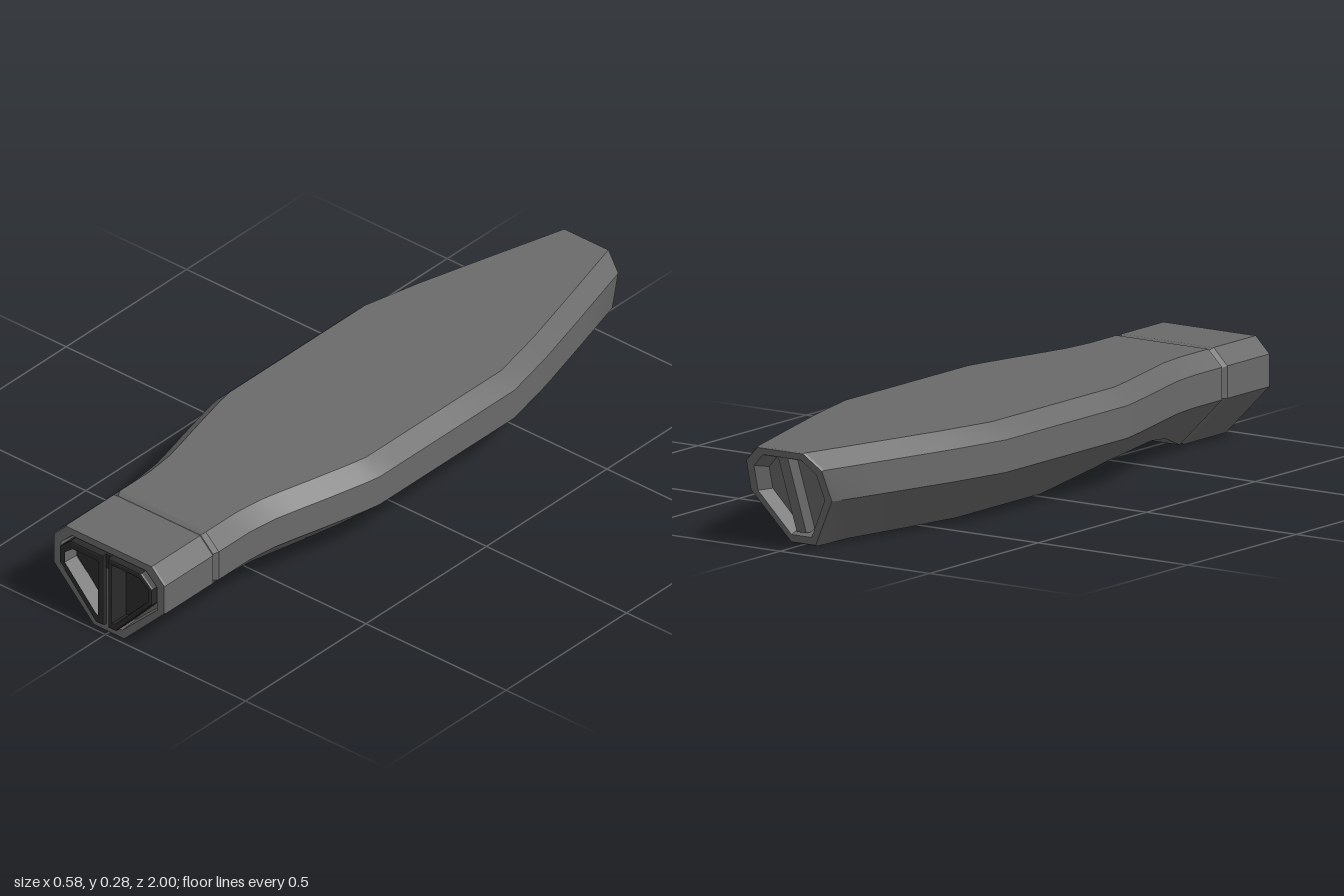
import * as THREE from 'three';
import { toCreasedNormals } from 'three/addons/utils/BufferGeometryUtils.js';

const shell = new THREE.MeshStandardMaterial({ color: 0x6a6a6a });
const dark = new THREE.MeshStandardMaterial({ color: 0x2a2a2a });
const TOP = 0.28, SLANT = 0.39;

// Piecewise linear lookup in [z, value] pairs sorted by z
function lookup(table, z) {
  if (z <= table[0][0]) return table[0][1];
  for (let i = 1; i < table.length; i++) {
    const [z0, a] = table[i - 1], [z1, b] = table[i];
    if (z <= z1) return a + (b - a) * (z - z0) / (z1 - z0);
  }
  return table[table.length - 1][1];
}

const WIDTH = [[-1, 0.125], [-0.54, 0.25], [-0.36, 0.29], [0.21, 0.29], [0.38, 0.25],
  [0.53, 0.212], [0.63, 0.2], [1, 0.2]];
const LIFT = [[0.03, 0], [0.2, 0.052], [0.25, 0.06], [0.54, 0.06], [0.64, 0.046], [0.77, 0]];

// Eight-sided section, counter-clockwise seen from the front; slanted = sheared tail cut
function section(z, slanted = 0) {
  const corner = (level) => {
    const y0 = [0, 0.145, 0.235, TOP][level];
    const zz = z + slanted * SLANT * (TOP - y0);
    const w = lookup(WIDTH, zz);
    if (level === 3) return [w - 0.046, TOP, zz];
    if (level > 0) return [w, y0, zz];
    const lift = lookup(LIFT, zz);
    const bottom = Math.max(0.042, 0.055 + (w - 0.2) * 0.78);
    return [bottom + (w - bottom) * lift / 0.145, lift, zz];
  };
  const half = [0, 1, 2, 3].map(corner);
  return [...half, ...half.slice().reverse().map(([x, y, zz]) => [-x, y, zz])];
}

// Shrinks a section towards its middle and shifts it along z
const inset = (ring, sx, sy, dz, slanted = 0) => ring.map(([x, y, z]) => {
  const ny = 0.15 + (y - 0.15) * sy;
  return [x * sx, ny, z + dz - slanted * SLANT * (ny - y)];
});

// Skin through sections, closed at both ends
function loft(rings) {
  const n = rings[0].length, index = [], last = (rings.length - 1) * n;
  for (let r = 0; r < rings.length - 1; r++) {
    for (let i = 0; i < n; i++) {
      const a = r * n + i, b = r * n + (i + 1) % n;
      index.push(a, b, b + n, a, b + n, a + n);
    }
  }
  for (let i = 1; i < n - 1; i++) {
    index.push(0, i + 1, i, last, last + i, last + i + 1);
  }
  const geo = new THREE.BufferGeometry();
  geo.setAttribute('position', new THREE.Float32BufferAttribute(rings.flat(2), 3));
  geo.setIndex(index);
  return toCreasedNormals(geo, 0.4);
}

function add(parent, name, geometry, material, x = 0, y = 0, z = 0) {
  const mesh = new THREE.Mesh(geometry, material);
  mesh.name = name;
  mesh.position.set(x, y, z);
  parent.add(mesh);
  return mesh;
}

const toPath = (pts, side, Kind) => new Kind(pts.map(([x, y]) => new THREE.Vector2(x * side, y)));

export function createModel() {
  const model = new THREE.Group();
  model.name = 'handle';

  // Main body with a recessed, slanted tail
  const tail = section(-1, 1);
  const stations = [-0.75, -0.54, -0.36, -0.1, 0.03, 0.12, 0.2, 0.25, 0.38, 0.47, 0.54, 0.59, 0.64, 0.7, 0.762];
  const neck = section(0.77);
  add(model, 'body', loft([
    inset(tail, 0.68, 0.72, 0.045, 1),
    inset(tail, 0.8, 0.83, 0, 1),
    inset(tail, 0.97, 0.98, 0, 1),
    inset(tail, 1, 1, 0.006),
    ...stations.map((z) => section(z)),
    inset(neck, 0.95, 0.94, 0.006),
  ]), shell);

  // Upright rib across the tail recess, sheared to the slanted cut
  const rib = new THREE.BoxGeometry(0.032, 0.23, 0.05);
  const p = rib.attributes.position;
  for (let i = 0; i < p.count; i++) p.setZ(i, p.getZ(i) - SLANT * p.getY(i));
  rib.computeVertexNormals();
  add(model, 'tailRib', rib, shell, 0, 0.15, -1 + SLANT * (TOP - 0.15) + 0.029);

  // Collar with bevelled ends and an open front
  const back = section(0.78), front = section(0.985);
  add(model, 'collar', loft([
    inset(back, 0.95, 0.94, -0.006),
    inset(back, 1, 1, 0.006),
    inset(front, 1, 1, -0.005),
    inset(front, 0.985, 0.985, 0),
    inset(front, 0.86, 0.82, 0),
    inset(front, 0.84, 0.79, -0.06),
  ]), shell);
  add(model, 'frontRib', new THREE.BoxGeometry(0.017, 0.19, 0.06), shell, 0, 0.115, 0.955);
  add(model, 'bridge', new THREE.BoxGeometry(0.018, 0.045, 0.06), dark, 0, 0.228, 0.956);

  // Two mirrored dark sockets: a bevelled frame around a deep pocket
  const rim = [[0.009, 0.025], [0.036, 0.025], [0.165, 0.165], [0.165, 0.215], [0.125, 0.25], [0.009, 0.25]];
  const hole = [[0.022, 0.045], [0.036, 0.05], [0.149, 0.17], [0.149, 0.208], [0.118, 0.232], [0.022, 0.232]];
  const floor = [[0.015, 0.035], [0.036, 0.035], [0.155, 0.165], [0.155, 0.21], [0.12, 0.24], [0.015, 0.24]];
  for (const side of [1, -1]) {
    const socket = new THREE.Group();
    socket.name = side > 0 ? 'leftSocket' : 'rightSocket';
    const shape = toPath(rim, side, THREE.Shape);
    shape.holes.push(toPath(hole, side, THREE.Path));
    const frame = new THREE.ExtrudeGeometry(shape, {
      depth: 0.065, bevelEnabled: true, bevelThickness: 0.006, bevelSize: 0.005, bevelOffset: -0.005, bevelSegments: 2,
    });
    add(socket, 'frame', frame, dark, 0, 0, 0.929);
    add(socket, 'pocketFloor', new THREE.ShapeGeometry(toPath(floor, side, THREE.Shape)), dark, 0, 0, 0.94);
    model.add(socket);
  }
  return model;
}
